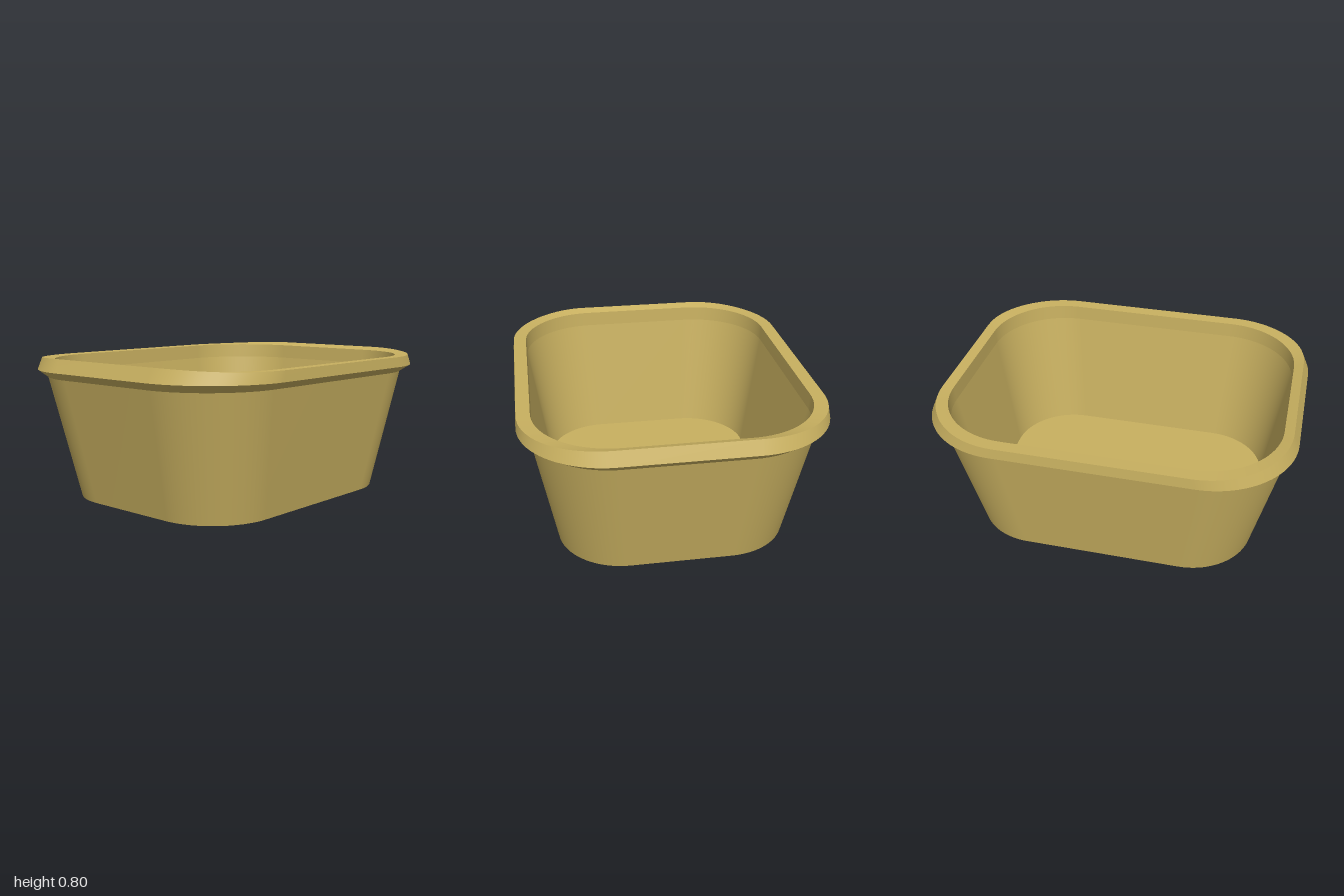
import * as THREE from 'three';

const CORNER_STEPS = 20;

// Rounded-rectangle outline at one height; lift raises the two short ends.
function ring({ x, z, r, y, lift = 0 }) {
  const points = [];
  const corners = [[1, 1], [-1, 1], [-1, -1], [1, -1]];
  corners.forEach(([sx, sz], c) => {
    for (let i = 0; i <= CORNER_STEPS; i++) {
      const a = (c + i / CORNER_STEPS) * Math.PI / 2;
      const px = sx * (x - r) + r * Math.cos(a);
      const pz = sz * (z - r) + r * Math.sin(a);
      points.push(new THREE.Vector3(px, y + lift * Math.pow(Math.abs(pz) / z, 8), pz));
    }
  });
  return points;
}

// Smooth band joining two outlines, facing outwards when going upwards.
function band(from, to) {
  const a = ring(from), b = ring(to), n = a.length, index = [];
  for (let i = 0; i < n; i++) {
    const j = (i + 1) % n;
    index.push(i, n + i, j, j, n + i, n + j);
  }
  const geometry = new THREE.BufferGeometry().setFromPoints([...a, ...b]);
  geometry.setIndex(index);
  geometry.computeVertexNormals();
  return geometry;
}

// Flat cap filling an outline.
function cap(outline, up) {
  const shape = new THREE.Shape(ring(outline).map(p => new THREE.Vector2(p.x, p.z)));
  const geometry = new THREE.ShapeGeometry(shape);
  geometry.rotateX(up ? -Math.PI / 2 : Math.PI / 2);
  geometry.translate(0, outline.y, 0);
  return geometry;
}

export function createModel() {
  const group = new THREE.Group();
  const tan = new THREE.MeshStandardMaterial({ color: 0xc8b060 });

  const add = (name, geometry) => {
    const mesh = new THREE.Mesh(geometry, tan);
    mesh.name = name;
    group.add(mesh);
  };

  // Cross-section of the tub, from the base up and over the rim to the floor
  const base = { x: 0.635, z: 0.8, r: 0.36, y: 0 };
  const wallTop = { x: 0.757, z: 0.957, r: 0.43, y: 0.69 };
  const rimLow = { x: 0.82, z: 1.0, r: 0.47, y: 0.73 };
  const rimHigh = { x: 0.815, z: 0.967, r: 0.46, y: 0.787, lift: 0.016 };
  const rimInner = { x: 0.742, z: 0.915, r: 0.42, y: 0.785 };
  const lipLow = { x: 0.738, z: 0.91, r: 0.42, y: 0.7 };
  const floor = { x: 0.63, z: 0.795, r: 0.355, y: 0.008 };

  add('base', cap(base, false));
  add('outerWall', band(base, wallTop));
  add('rimUnderside', band(wallTop, rimLow));
  add('rimSide', band(rimLow, rimHigh));
  add('rimTop', band(rimHigh, rimInner));
  add('innerLip', band(rimInner, lipLow));
  add('innerWall', band(lipLow, floor));
  add('floor', cap(floor, true));

  return group;
}
